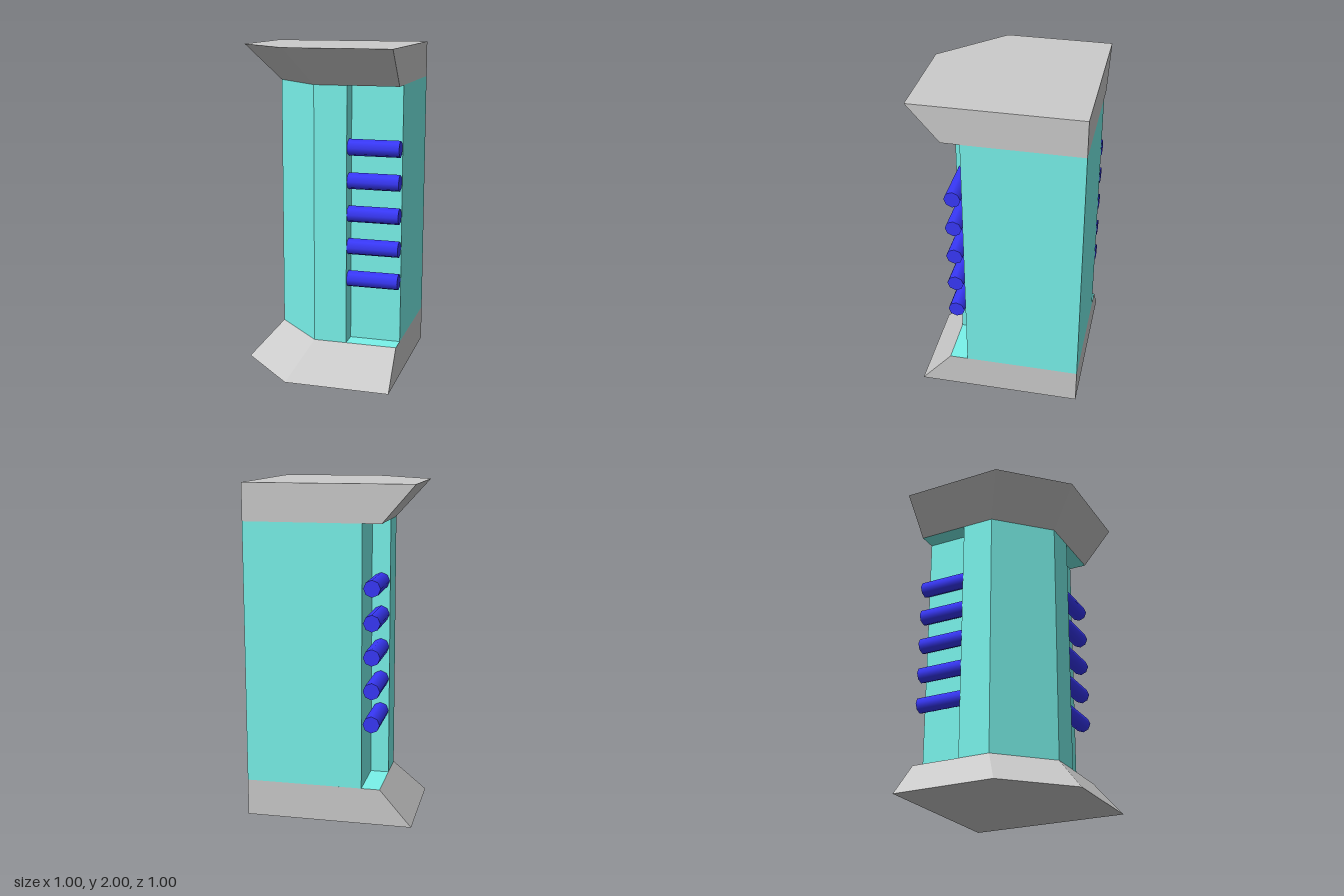
import * as THREE from 'three';

const GREY = new THREE.MeshStandardMaterial({ color: 0xcccccc });
const TEAL = new THREE.MeshStandardMaterial({ color: 0x79f3eb });
const BLUE = new THREE.MeshStandardMaterial({ color: 0x3838fa });

// Plan outlines as [x, z], counter-clockwise seen from above
const OUTER = [[-0.5, -0.5], [-0.5, 0.14], [-0.14, 0.5], [0.5, 0.5], [0.5, -0.5]];
const INNER = [[-0.31, -0.5], [-0.31, 0.01], [-0.01, 0.31], [0.5, 0.31], [0.5, -0.5]];
const NOTCHED = [
  [-0.2, -0.5], [-0.2, -0.19], [-0.31, -0.19], [-0.31, 0.01], [-0.01, 0.31],
  [0.19, 0.31], [0.19, 0.2], [0.5, 0.2], [0.5, -0.5],
];
const CAP_HEIGHT = 0.22, HEIGHT = 2;

const at = ([x, z], y) => [x, y, z];

// Flat convex face, as a fan of triangles
function fan(corners) {
  const out = [];
  for (let i = 1; i < corners.length - 1; i++) out.push(...corners[0], ...corners[i], ...corners[i + 1]);
  return out;
}

// Walls joining a lower outline to an upper outline
function walls(lower, upper, y0, y1) {
  return lower.flatMap((p, i) => {
    const j = (i + 1) % lower.length;
    return fan([at(p, y0), at(lower[j], y0), at(upper[j], y1), at(upper[i], y1)]);
  });
}

function lid(outline, y, facesUp) {
  const corners = outline.map((p) => at(p, y));
  return fan(facesUp ? corners : corners.reverse());
}

function makeMesh(name, positions, material) {
  const geometry = new THREE.BufferGeometry();
  geometry.setAttribute('position', new THREE.Float32BufferAttribute(positions, 3));
  geometry.computeVertexNormals();
  const mesh = new THREE.Mesh(geometry, material);
  mesh.name = name;
  return mesh;
}

export function createModel() {
  const model = new THREE.Group();
  model.name = 'cornerColumn';
  const topY = HEIGHT - CAP_HEIGHT;

  // Flared base and mirrored head
  model.add(
    makeMesh('base', [...walls(OUTER, INNER, 0, CAP_HEIGHT), ...lid(OUTER, 0, false)], GREY),
    makeMesh('head', [...walls(INNER, OUTER, topY, HEIGHT), ...lid(OUTER, HEIGHT, true)], GREY),
  );

  // Column with a notch at each end, plus the notch floors and ceilings
  model.add(
    makeMesh('column', walls(NOTCHED, NOTCHED, CAP_HEIGHT, topY), TEAL),
    makeMesh('notchFloors', lid(INNER, CAP_HEIGHT, true), TEAL),
    makeMesh('notchCeilings', lid(INNER, topY, false), TEAL),
  );

  // Stacked eight-sided rods in both notches
  const rodGeometry = new THREE.CylinderGeometry(0.05, 0.05, 0.31, 8);
  const rods = new THREE.Group();
  rods.name = 'rods';
  for (let i = 0; i < 5; i++) {
    const y = 0.615 + i * 0.2;
    const front = new THREE.Mesh(rodGeometry, BLUE);
    front.name = 'frontRod';
    front.rotation.z = Math.PI / 2;
    front.position.set(0.345, y, 0.257);
    const side = new THREE.Mesh(rodGeometry, BLUE);
    side.name = 'sideRod';
    side.rotation.x = Math.PI / 2;
    side.position.set(-0.257, y, -0.345);
    rods.add(front, side);
  }
  model.add(rods);
  return model;
}
